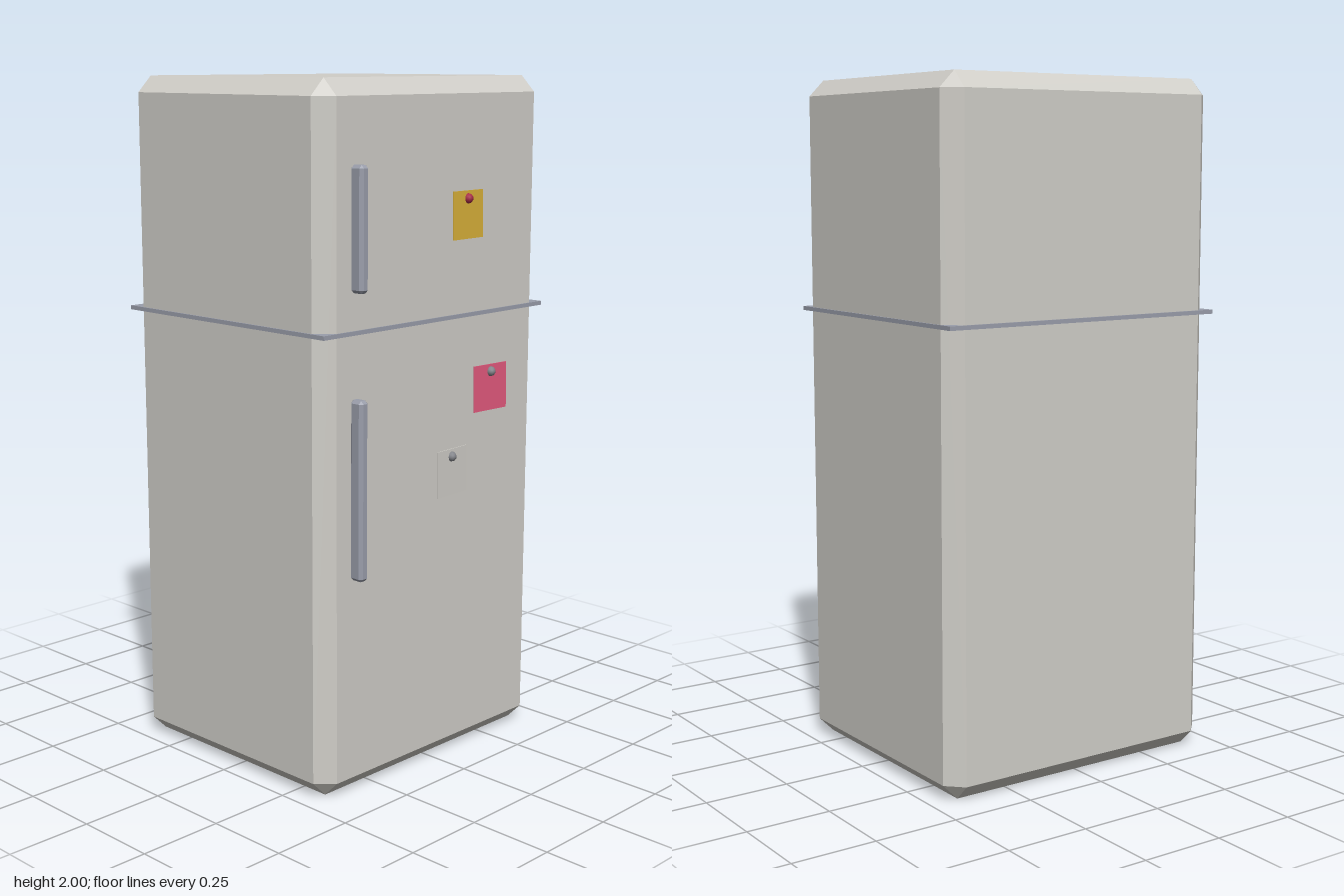
import * as THREE from 'three';
import { ConvexGeometry } from 'three/addons/geometries/ConvexGeometry.js';

const mat = (name, color) => {
  const m = new THREE.MeshStandardMaterial({ color });
  m.name = name;
  return m;
};

// Box with flat chamfers on every edge and triangular corners
function chamferBox(w, h, d, c) {
  const pts = [];
  for (const x of [-1, 1]) for (const y of [-1, 1]) for (const z of [-1, 1]) {
    const [a, b, e] = [w / 2, h / 2, d / 2];
    pts.push(
      new THREE.Vector3(x * a, y * (b - c), z * (e - c)),
      new THREE.Vector3(x * (a - c), y * b, z * (e - c)),
      new THREE.Vector3(x * (a - c), y * (b - c), z * e));
  }
  return new ConvexGeometry(pts);
}

export function createModel() {
  const group = new THREE.Group();
  group.name = 'refrigerator';
  const enamel = mat('warm grey enamel', 0xd0cec8);
  const steel = mat('blue grey steel', 0x9a9eab);
  const yellow = mat('yellow paper', 0xdab23a);
  const pink = mat('pink paper', 0xe0587c);
  const red = mat('red magnet', 0xa82c48);
  const grey = mat('grey magnet', 0x84868c);

  const add = (name, geometry, material, x, y, z) => {
    const mesh = new THREE.Mesh(geometry, material);
    mesh.name = name;
    mesh.position.set(x, y, z);
    group.add(mesh);
    return mesh;
  };

  // Cabinet and the seal between freezer and fridge
  add('cabinet', chamferBox(0.916, 2, 0.8, 0.047), enamel, 0, 1, -0.02);
  add('doorSeal', new THREE.BoxGeometry(0.926, 0.012, 0.81), steel, 0, 1.325, -0.021);

  // Door handles
  add('freezerHandle', chamferBox(0.033, 0.34, 0.046, 0.009), steel, -0.344, 1.605, 0.4);
  add('fridgeHandle', chamferBox(0.033, 0.51, 0.046, 0.009), steel, -0.344, 0.89, 0.4);

  // Paper notes, each slightly askew and held by a round magnet
  const paper = new THREE.BoxGeometry(0.137, 0.137, 0.003);
  const ball = new THREE.IcosahedronGeometry(0.015, 1);
  const notes = [
    ['yellowNote', yellow, 0.113, 1.614, 0.06, red, 0.112, 1.66],
    ['pinkNote', pink, 0.224, 1.1, -0.06, grey, 0.226, 1.147],
    ['plainNote', enamel, 0.058, 0.872, 0.06, grey, 0.055, 0.918],
  ];
  for (const [name, colour, x, y, turn, magnet, mx, my] of notes) {
    const note = add(name, paper, colour, x, y, 0.3875);
    note.rotation.set(-0.015, turn, 0);
    add(name + 'Magnet', ball, magnet, mx, my, 0.388);
  }
  return group;
}
